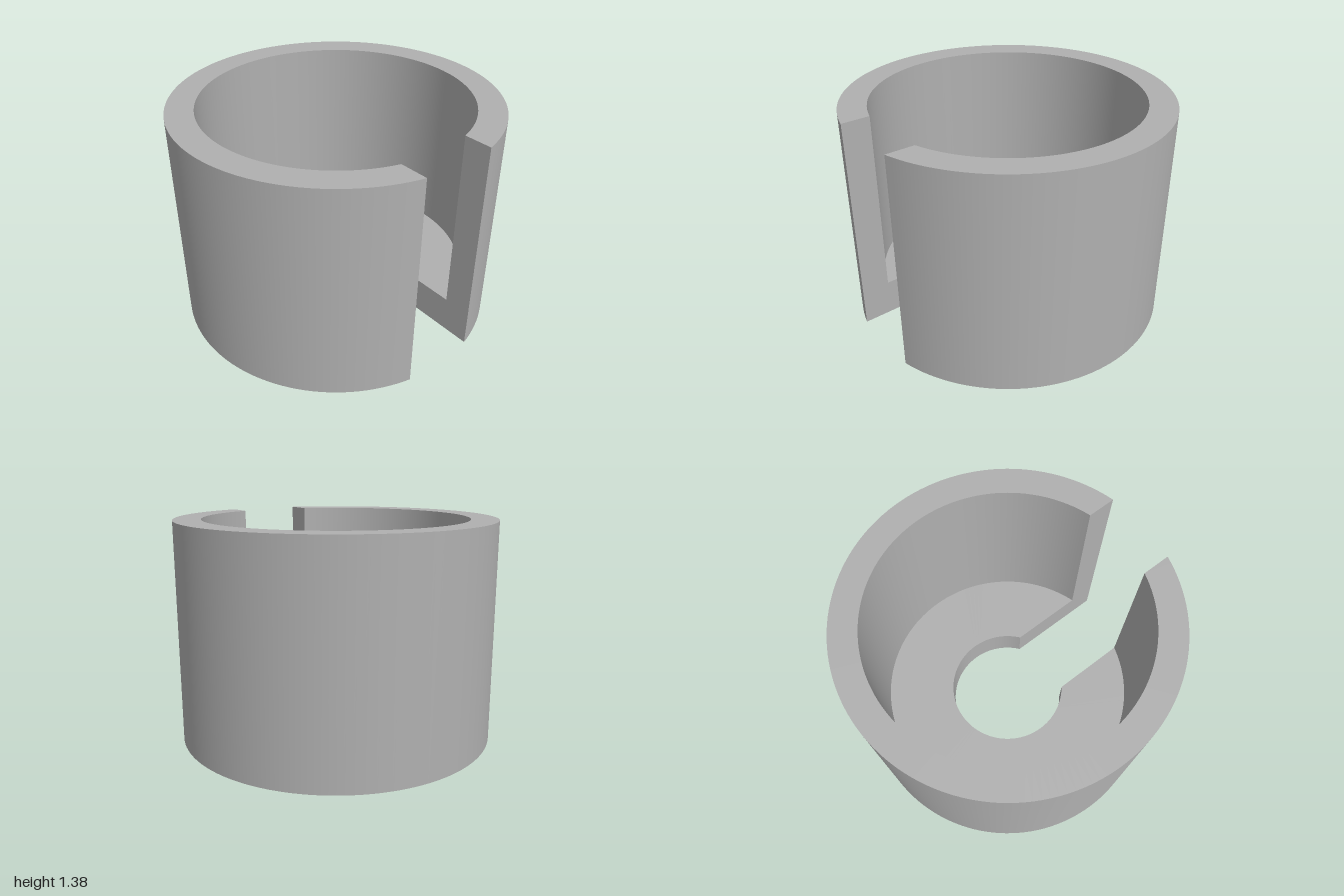
import * as THREE from 'three';

const SLOT = 0.24;      // half width of the side slot
const CENTRE_X = 0.015; // offset so that the slotted body is centred
const SEGMENTS = 128;

// Cross-section of the cup as [radius, height], counter-clockwise
const PROFILE = [
  [0.385, 0], [1, 0], [1, 1.385], [0.83, 1.385], [0.83, 0.23], [0.385, 0.23],
];

// Surface swept by one profile edge, ending on the parallel slot walls
function sweepEdge(a, b) {
  const positions = [], index = [];
  for (let j = 0; j <= SEGMENTS; j++) {
    for (const [r, y] of [a, b]) {
      const start = Math.asin(SLOT / r);
      const t = start + (2 * Math.PI - 2 * start) * j / SEGMENTS;
      positions.push(r * Math.cos(t), y, r * Math.sin(t));
    }
    if (j < SEGMENTS) {
      const k = j * 2;
      index.push(k, k + 1, k + 2, k + 1, k + 3, k + 2);
    }
  }
  const geometry = new THREE.BufferGeometry();
  geometry.setAttribute('position', new THREE.Float32BufferAttribute(positions, 3));
  geometry.setIndex(index);
  geometry.computeVertexNormals();
  return geometry;
}

// L-shaped flat face on one side of the slot
function slotFace(side) {
  const outline = PROFILE.map(([r, y]) => new THREE.Vector2(Math.sqrt(r * r - SLOT * SLOT), y));
  const geometry = new THREE.ShapeGeometry(new THREE.Shape(outline));
  geometry.translate(0, 0, side * SLOT);
  if (side > 0) geometry.index.array.reverse(); // turn to face into the slot
  geometry.computeVertexNormals();
  return geometry;
}

export function createModel() {
  const model = new THREE.Group();
  model.name = 'slottedCup';
  const grey = new THREE.MeshStandardMaterial({ color: 0xb0b0b0 });
  grey.name = 'grey';

  const add = (name, geometry) => {
    const mesh = new THREE.Mesh(geometry, grey);
    mesh.name = name;
    mesh.position.x = CENTRE_X;
    model.add(mesh);
  };

  // Walls, rim and floor
  const names = ['underside', 'outerWall', 'rim', 'innerWall', 'floor', 'floorHole'];
  names.forEach((name, i) => add(name, sweepEdge(PROFILE[i], PROFILE[(i + 1) % PROFILE.length])));

  // Both sides of the slot
  add('frontSlotFace', slotFace(1));
  add('backSlotFace', slotFace(-1));
  return model;
}
